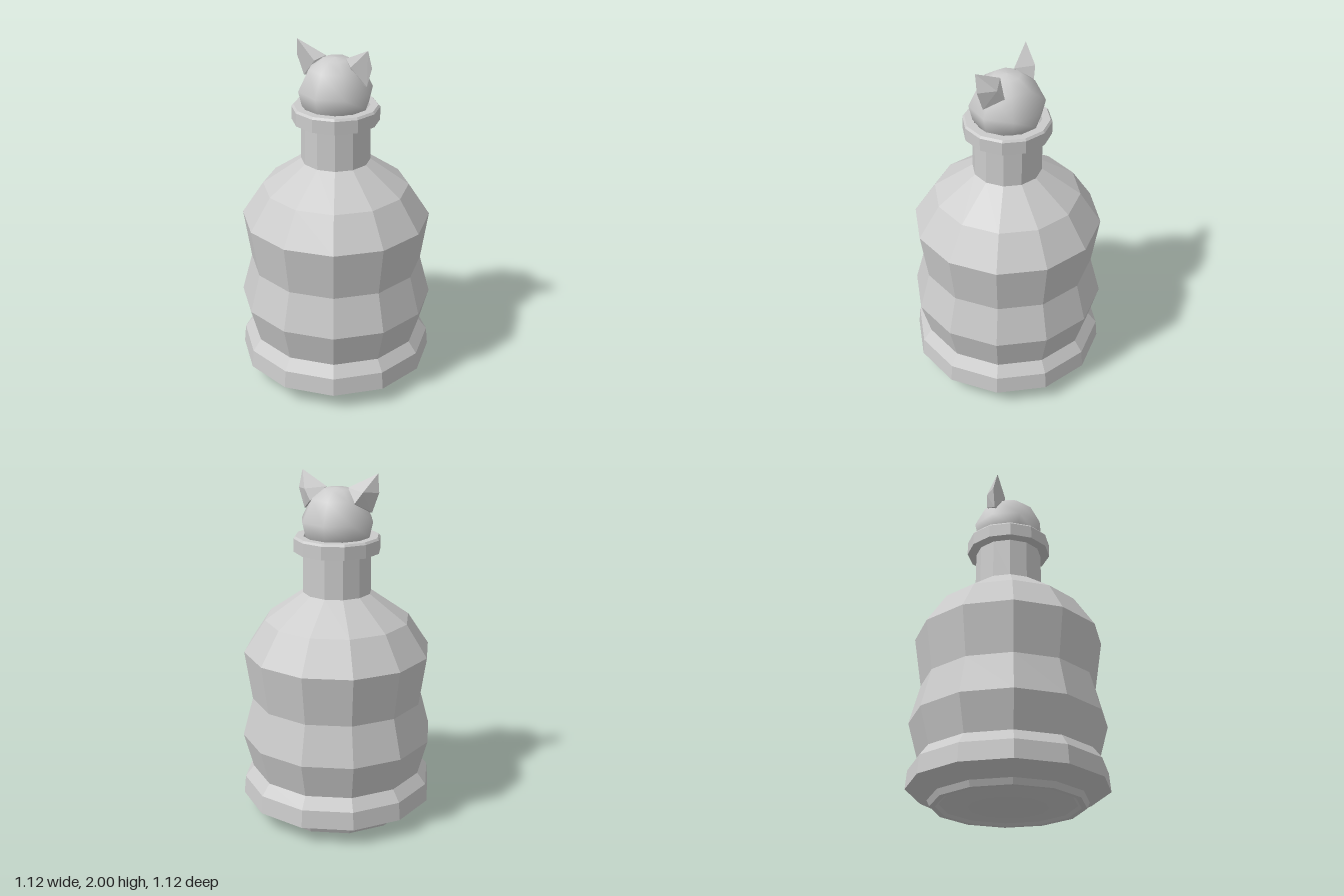
import * as THREE from 'three';
import { ConvexGeometry } from 'three/addons/geometries/ConvexGeometry.js';

const SIDES = 12;
const flat = new THREE.MeshStandardMaterial({ color: 0xcccccc, flatShading: true });
const smooth = new THREE.MeshStandardMaterial({ color: 0xcccccc });

// Revolve [radius, height] pairs, listed from bottom to top
function lathe(name, profile, sides, material) {
  const points = profile.map(([r, y]) => new THREE.Vector2(r, y));
  const mesh = new THREE.Mesh(new THREE.LatheGeometry(points, sides), material);
  mesh.name = name;
  return mesh;
}

// One pointed ear; side is +1 for the left, -1 for the right
function ear(side) {
  const corners = [
    [0.222, 2.0, 0.04],    // tip
    [0.063, 1.92, 0.0],    // inner base
    [0.115, 1.89, 0.037],  // front base
    [0.2, 1.79, 0.01],     // outer base
    [0.236, 1.9, 0.02],    // outer bulge
    [0.17, 1.91, -0.06],   // back bulge
    [0.13, 1.85, -0.08],   // back base
    [0.1, 1.8, 0.0],       // root inside the head
  ].map(([x, y, z]) => new THREE.Vector3(x * side, y, z));
  const mesh = new THREE.Mesh(new ConvexGeometry(corners), flat);
  mesh.name = side > 0 ? 'leftEar' : 'rightEar';
  return mesh;
}

export function createModel() {
  const group = new THREE.Group();
  group.name = 'bottleWithAnimalStopper';

  // Bottle body with slightly domed base, foot, waist and shoulder
  group.add(lathe('bottleBody', [
    [0, 0], [0.22, 0.01], [0.375, 0.025], [0.395, 0.012], [0.425, 0.012],
    [0.44, 0.045], [0.56, 0.105], [0.55, 0.21], [0.5, 0.275],
    [0.555, 0.48], [0.495, 0.705], [0.537, 0.99], [0.415, 1.175], [0.195, 1.33],
  ], SIDES, flat));

  group.add(lathe('neck', [[0.195, 1.33], [0.192, 1.56]], SIDES, flat));

  // Collar with a shallow closed mouth
  group.add(lathe('collar', [
    [0.192, 1.56], [0.245, 1.565], [0.245, 1.64], [0.235, 1.652],
    [0.19, 1.652], [0.185, 1.59], [0, 1.59],
  ], SIDES, flat));

  // Animal head stopper resting in the mouth
  group.add(lathe('head', [
    [0, 1.53], [0.14, 1.58], [0.19, 1.655], [0.21, 1.74],
    [0.15, 1.862], [0.075, 1.912], [0, 1.92],
  ], 8, smooth));

  for (const side of [1, -1]) group.add(ear(side));
  return group;
}
